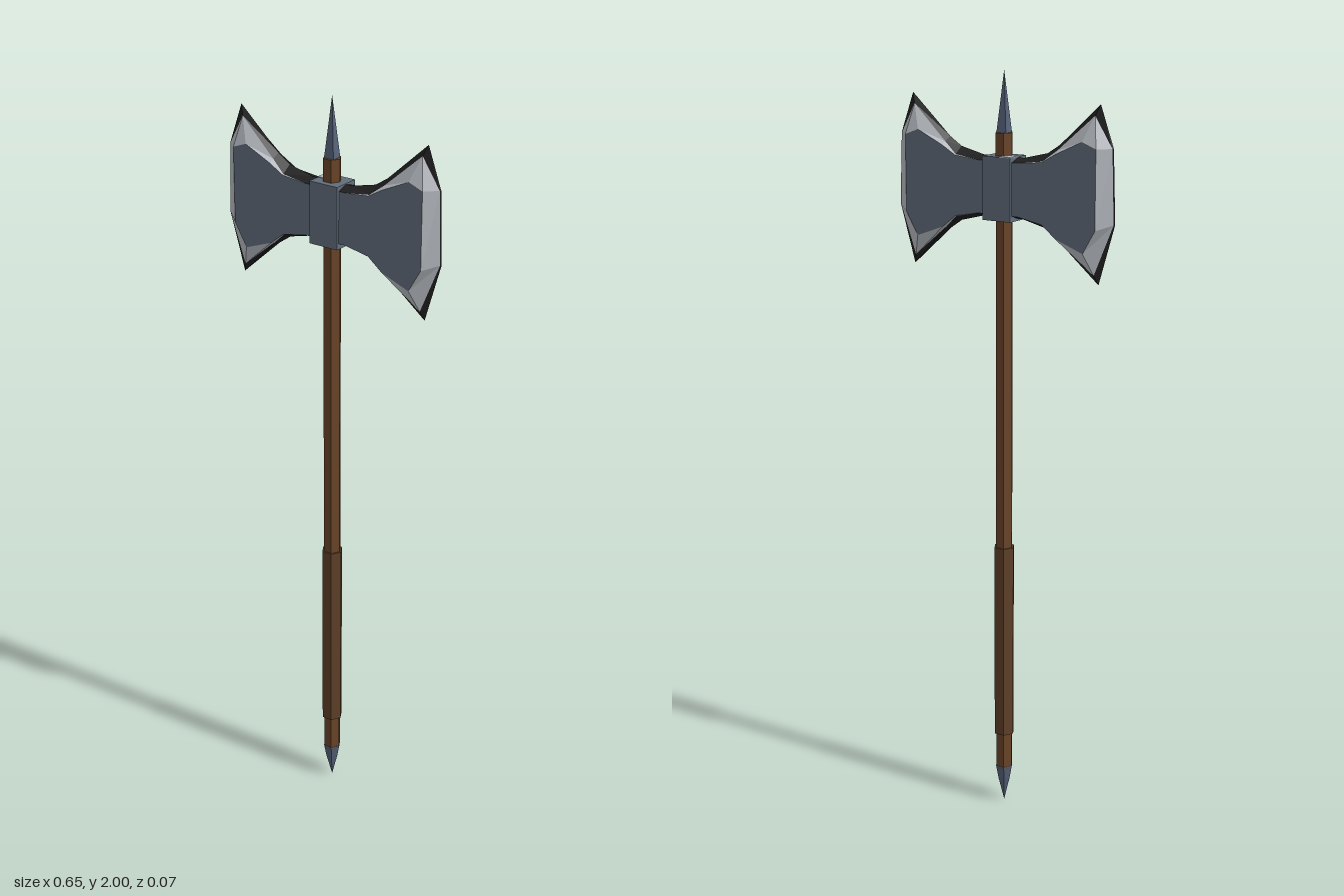
import * as THREE from 'three';

const mat = (name, color) => {
  const m = new THREE.MeshStandardMaterial({ color, flatShading: true });
  m.name = name;
  return m;
};

// Half blade, traced from the top middle round the cutting edge to the bottom middle.
// Each row: rim x, y (z = 0), cheek x, y (z = CHEEK), dark share of the bevel.
const CHEEK = 0.03;
const BLADE = [
  [0, 1.785, 0, 1.775, 1],
  [0.06, 1.785, 0.06, 1.775, 1],
  [0.13, 1.802, 0.13, 1.782, 0.9],
  [0.165, 1.825, 0.17, 1.805, 0.6],
  [0.28, 1.93, 0.245, 1.84, 0.3],
  [0.318, 1.825, 0.285, 1.825, 0.08],
  [0.325, 1.64, 0.285, 1.625, 0.08],
  [0.28, 1.485, 0.25, 1.565, 0.3],
  [0.165, 1.588, 0.17, 1.595, 0.6],
  [0.13, 1.612, 0.13, 1.627, 0.9],
  [0.06, 1.63, 0.06, 1.64, 1],
  [0, 1.63, 0, 1.64, 1],
];

// Builds one surface of a half blade, mirrored by the signs sx and sz
function quads(list, sx, sz) {
  const pos = [];
  for (const q of list) {
    const order = sx * sz > 0 ? [0, 1, 2, 0, 2, 3] : [0, 2, 1, 0, 3, 2];
    for (const k of order) pos.push(q[k].x * sx, q[k].y, q[k].z * sz);
  }
  const g = new THREE.BufferGeometry();
  g.setAttribute('position', new THREE.Float32BufferAttribute(pos, 3));
  g.computeVertexNormals();
  return g;
}

export function createModel() {
  const wood = mat('wood', 0x6a4529);
  const grip = mat('grip leather', 0x5f4029);
  const steel = mat('steel', 0x626e7c);
  const bright = mat('bright edge', 0xbabec4);
  const dark = mat('dark rim', 0x1f1f1f);
  const spikeSteel = mat('spike steel', 0x56637a);

  const model = new THREE.Group();
  model.name = 'doubleAxe';
  const add = (name, geo, material, parent = model) => {
    const m = new THREE.Mesh(geo, material);
    m.name = name;
    parent.add(m);
    return m;
  };
  // Upright prism or cone between two heights
  const prism = (name, y0, y1, r0, r1, sides, turn, material) => {
    const g = new THREE.CylinderGeometry(r1, r0, y1 - y0, sides);
    g.rotateY(turn).translate(0, (y0 + y1) / 2, 0);
    return add(name, g, material);
  };

  // Shaft and grip, hexagonal with corners on the x axis
  prism('shaft', 0.1, 1.845, 0.024, 0.024, 6, Math.PI / 6, wood);
  prism('grip', 0.205, 0.745, 0.029, 0.029, 6, Math.PI / 6, grip);

  // Top spike and pommel point
  prism('topSpike', 1.845, 2, 0.02, 0, 4, Math.PI / 4, spikeSteel);
  prism('pommelCollar', 0.07, 0.107, 0.018, 0.025, 6, Math.PI / 6, spikeSteel);
  prism('pommelPoint', 0, 0.07, 0, 0.018, 6, Math.PI / 6, spikeSteel);

  // Socket that holds the head, with a worn patch on its top
  add('socket', new THREE.BoxGeometry(0.084, 0.162, 0.074).translate(0, 1.706, 0), steel);
  add('socketWear', new THREE.BoxGeometry(0.034, 0.003, 0.04).translate(-0.025, 1.7875, -0.017), bright);

  // Blades: steel cheek, bright bevel and dark rim, mirrored four ways
  const rim = BLADE.map(([x, y]) => new THREE.Vector3(x, y, 0));
  const cheek = BLADE.map(([, , x, y]) => new THREE.Vector3(x, y, CHEEK));
  const mid = BLADE.map((p, i) => rim[i].clone().lerp(cheek[i], p[4]));
  const last = BLADE.length - 1;
  const strip = (a, b) => BLADE.slice(1).map((_, i) => [a[i], b[i], b[i + 1], a[i + 1]]);
  const face = [];
  for (let i = 0; i < last - 1 - i; i++) {
    face.push([cheek[i], cheek[last - i], cheek[last - 1 - i], cheek[i + 1]]);
  }
  for (const sx of [1, -1]) {
    const blade = new THREE.Group();
    blade.name = sx > 0 ? 'leftBlade' : 'rightBlade';
    model.add(blade);
    for (const sz of [1, -1]) {
      const side = sz > 0 ? 'Front' : 'Back';
      add('cheek' + side, quads(face, sx, sz), steel, blade);
      add('bevel' + side, quads(strip(mid, cheek), sx, sz), bright, blade);
      add('rim' + side, quads(strip(rim, mid), sx, sz), dark, blade);
    }
  }
  return model;
}
